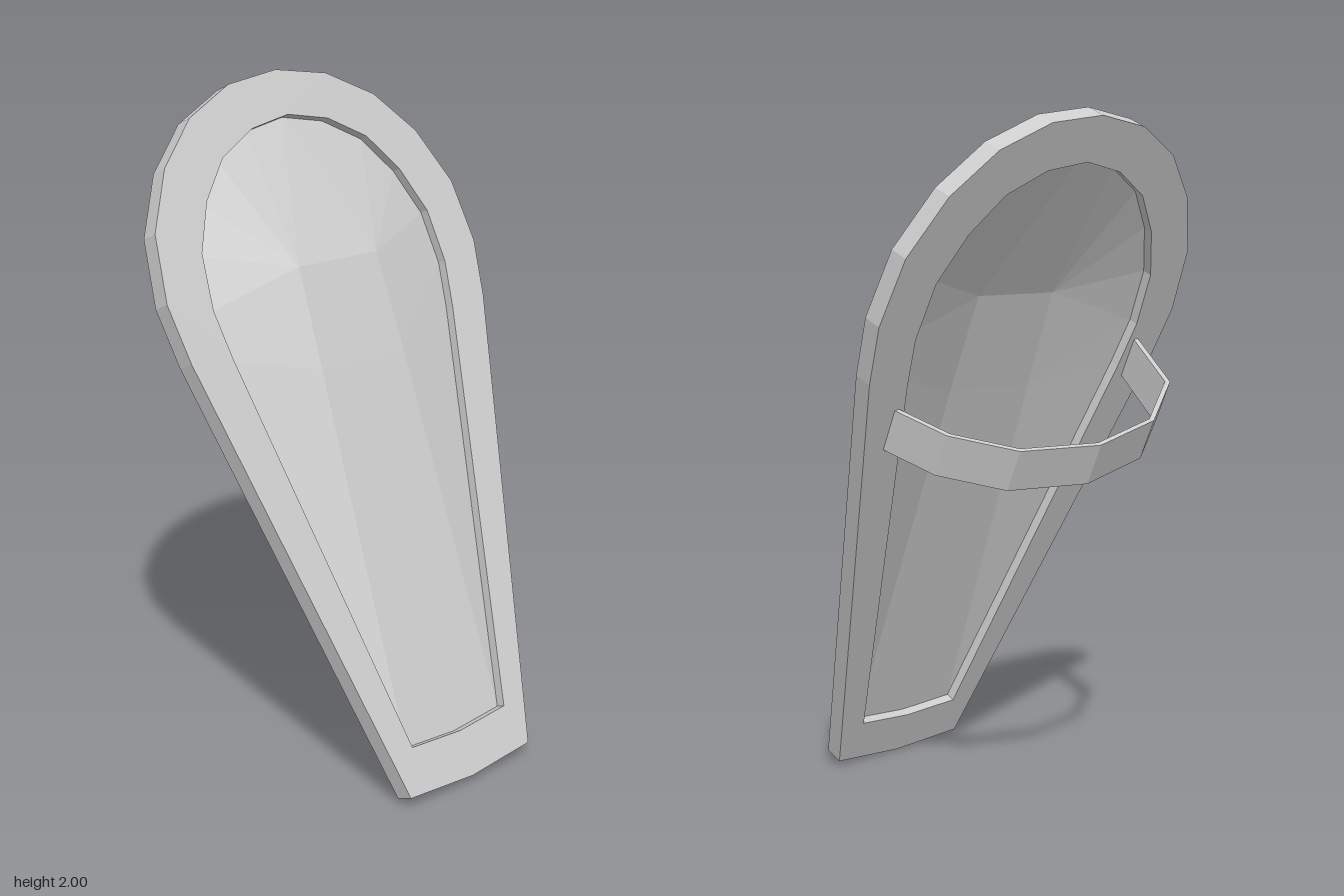
import * as THREE from 'three';

const TILT = 0.415;       // backward lean of the board
const THICK = 0.06;       // board thickness
const BASE_Y = 0.024, BASE_Z = 0.483;

const material = new THREE.MeshStandardMaterial({
  color: 0xcccccc, flatShading: true, side: THREE.DoubleSide,
});

// Half outlines [x, height], top centre to bottom centre, laid out along the board
const along = ([x, y]) => new THREE.Vector2(x, (y - BASE_Y) / Math.cos(TILT));
const outer = [[0, 2], [0.185, 1.975], [0.35, 1.9], [0.48, 1.78], [0.57, 1.62],
  [0.595, 1.44], [0.57, 1.28], [0.245, 0.04], [0, 0.024]].map(along);
const inner = [[0, 1.875], [0.145, 1.85], [0.275, 1.785], [0.37, 1.68], [0.435, 1.55],
  [0.45, 1.4], [0.43, 1.27], [0.19, 0.162], [0, 0.15]].map(along);

// Closes a half outline by mirroring it in x
const mirrored = (half) => [
  ...half,
  ...half.slice(1, -1).reverse().map((p) => new THREE.Vector2(-p.x, p.y)),
];

function mesh(name, geometry) {
  const m = new THREE.Mesh(geometry, material);
  m.name = name;
  return m;
}

// Flat frame with the panel opening cut through
function rimGeometry() {
  const shape = new THREE.Shape(mirrored(outer));
  shape.holes.push(new THREE.Path(mirrored(inner)));
  return new THREE.ExtrudeGeometry(shape, { depth: THICK, bevelEnabled: false })
    .translate(0, 0, -THICK);
}

// Thin faceted panel, set mid-thickness at its edge and bulging forward
function panelGeometry() {
  const v = inner.map((p) => [p.x, p.y, -THICK / 2]);
  const A = 9, B = 10, A0 = 11, B0 = 12;
  v.push([0.15, 1.571, 0.044], [0.16, 1.271, 0.032], [0, 1.571, 0.044], [0, 1.271, 0.032]);
  const faces = [
    [A, 2, 1], [A, 1, 0], [A, 0, A0],                       // crown
    [A, 3, 2], [A, 4, 3], [A, 5, 4],                        // shoulder
    [B, 6, 5], [B, 5, A], [A0, B0, B], [A0, B, A],          // middle band
    [B, 7, 6], [B0, 8, 7], [B0, 7, B],                      // lower part
  ];
  const positions = [];
  for (const side of [1, -1]) {
    for (const [a, b, c] of faces) {
      for (const i of side > 0 ? [a, b, c] : [a, c, b]) {
        positions.push(side * v[i][0], v[i][1], v[i][2]);
      }
    }
  }
  const g = new THREE.BufferGeometry();
  g.setAttribute('position', new THREE.Float32BufferAttribute(positions, 3));
  g.computeVertexNormals();
  return g;
}

// Slanted arm loop behind the board: a bent strip, sheared along the board
function strapGeometry() {
  const width = 0.124;
  const path = [[0.45, -0.06], [0.4, -0.228], [0.27, -0.381], [0.045, -0.461],
    [-0.185, -0.435], [-0.385, -0.298], [-0.48, -0.06]]
    .map(([x, z]) => new THREE.Vector2(x, z));
  const inside = path.map((p) => new THREE.Vector2(p.x * 0.965, -0.06 + (p.y + 0.06) * 0.965));
  const shape = new THREE.Shape([...path, ...inside.reverse()]);
  const g = new THREE.ExtrudeGeometry(shape, { depth: width, bevelEnabled: false });
  const pos = g.attributes.position;
  for (let i = 0; i < pos.count; i++) {
    const x = pos.getX(i), z = pos.getY(i), d = pos.getZ(i);
    pos.setXYZ(i, x, 1.242 - 0.18 * x + width - d, z);
  }
  g.computeVertexNormals();
  return g;
}

export function createModel() {
  const board = new THREE.Group();
  board.name = 'shield';
  board.add(
    mesh('rim', rimGeometry()),
    mesh('panel', panelGeometry()),
    mesh('armStrap', strapGeometry()),
  );
  board.rotation.x = -TILT;
  board.position.set(0, BASE_Y, BASE_Z);

  const model = new THREE.Group();
  model.add(board);
  return model;
}
